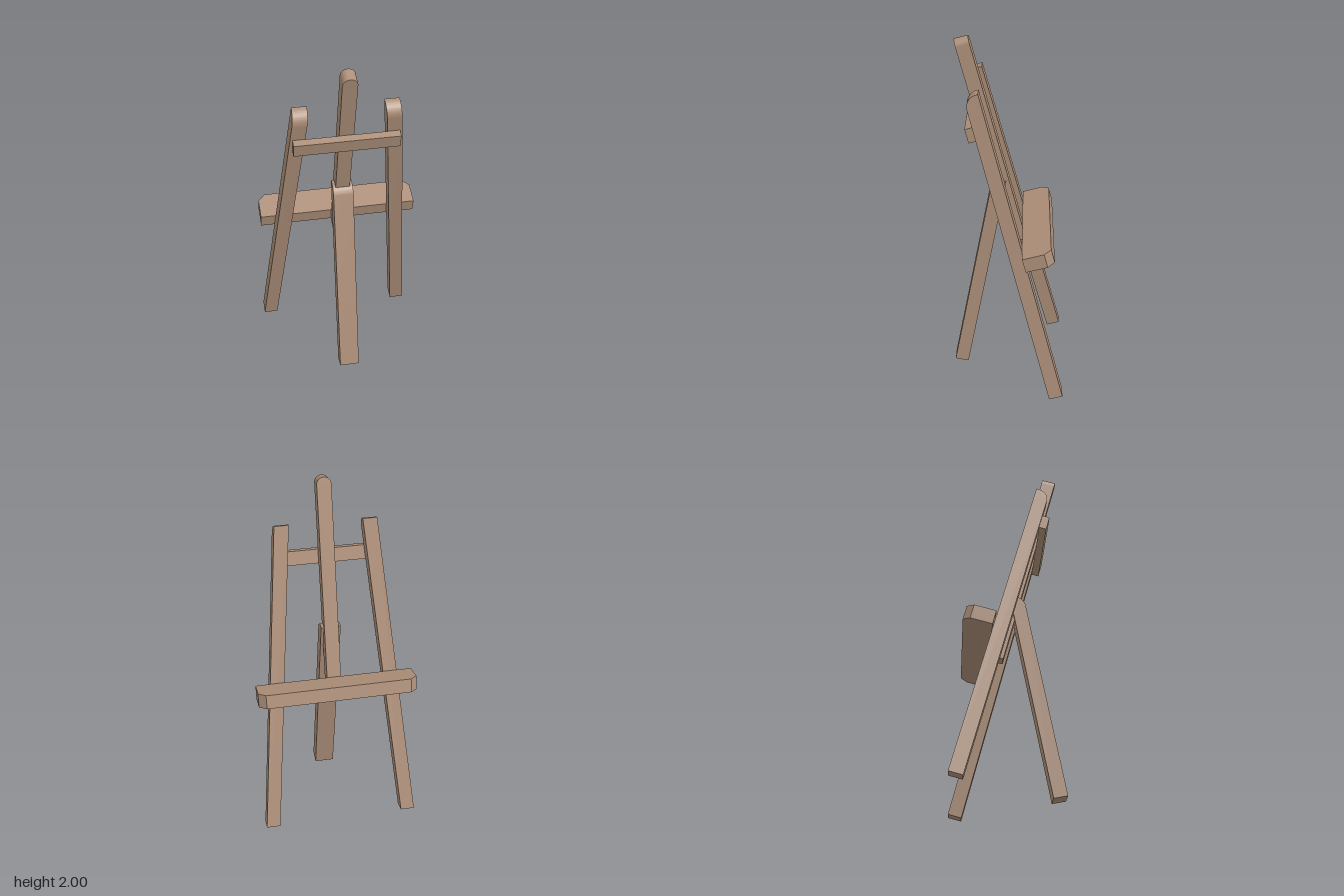
import * as THREE from 'three';
import { toCreasedNormals } from 'three/addons/utils/BufferGeometryUtils.js';

const THICK = 0.078;

export function createModel() {
  const wood = new THREE.MeshStandardMaterial({ color: 0xae907a });
  wood.name = 'wood';

  const easel = new THREE.Group();
  easel.name = 'easel';

  const add = (parent, name, geometry) => {
    const mesh = new THREE.Mesh(toCreasedNormals(geometry, 0.5), wood);
    mesh.name = name;
    parent.add(mesh);
    return mesh;
  };

  // Upright beam from y = 0 to length, front face at z = 0, front top edge rounded
  const roundedBeam = (length, width, radius = 0.067) => {
    const side = new THREE.Shape();
    side.moveTo(-THICK, 0);
    side.lineTo(0, 0);
    side.lineTo(0, length - radius);
    side.absarc(-radius, length - radius, radius, 0, Math.PI / 2, false);
    side.lineTo(-THICK, length);
    side.closePath();
    const geo = new THREE.ExtrudeGeometry(side, { depth: width, bevelEnabled: false, curveSegments: 8 });
    return geo.translate(0, 0, -width / 2).rotateY(-Math.PI / 2);
  };

  // Leaning frame: everything in it shares one tilted plane
  const frame = new THREE.Group();
  frame.name = 'leaningFrame';
  frame.position.z = -0.24;
  frame.rotation.x = THREE.MathUtils.degToRad(15);
  easel.add(frame);

  // Side legs, sheared so that they converge upward with level ends
  const legLength = 1.806;
  for (const s of [1, -1]) {
    const geo = roundedBeam(legLength, 0.08);
    const pos = geo.attributes.position;
    for (let i = 0; i < pos.count; i++) {
      pos.setX(i, pos.getX(i) + s * (0.408 - (0.165 * pos.getY(i)) / legLength));
    }
    geo.computeVertexNormals();
    add(frame, s > 0 ? 'leftLeg' : 'rightLeg', geo);
  }

  // Centre mast with an arched top
  const mast = new THREE.Shape();
  mast.moveTo(-0.04, 0.827);
  mast.lineTo(0.04, 0.827);
  mast.lineTo(0.04, 2.009);
  mast.absarc(0, 2.009, 0.04, 0, Math.PI, false);
  mast.closePath();
  const mastGeo = new THREE.ExtrudeGeometry(mast, { depth: THICK, bevelEnabled: false, curveSegments: 14 });
  add(frame, 'centreMast', mastGeo.translate(0, 0, -THICK));

  // Upper crossbar
  add(frame, 'crossbar', new THREE.BoxGeometry(0.57, 0.08, 0.042).translate(0, 1.6, 0.021));

  // Shelf with clipped outer corners
  const shelf = new THREE.Shape();
  const depth = 0.162, clip = 0.04, half = 0.45;
  shelf.moveTo(-half, 0);
  shelf.lineTo(half, 0);
  shelf.lineTo(half, depth - clip);
  shelf.lineTo(half - clip, depth);
  shelf.lineTo(-half + clip, depth);
  shelf.lineTo(-half, depth - clip);
  shelf.closePath();
  const shelfGeo = new THREE.ExtrudeGeometry(shelf, { depth: 0.08, bevelEnabled: false });
  add(frame, 'shelf', shelfGeo.rotateX(-Math.PI / 2).translate(0, 0.827, -THICK));

  // Prop leg leaning the other way
  const prop = add(easel, 'propLeg', roundedBeam(1.198, 0.112).translate(0, 0, THICK));
  prop.position.z = 0.24;
  prop.rotation.x = THREE.MathUtils.degToRad(-11);

  return easel;
}
